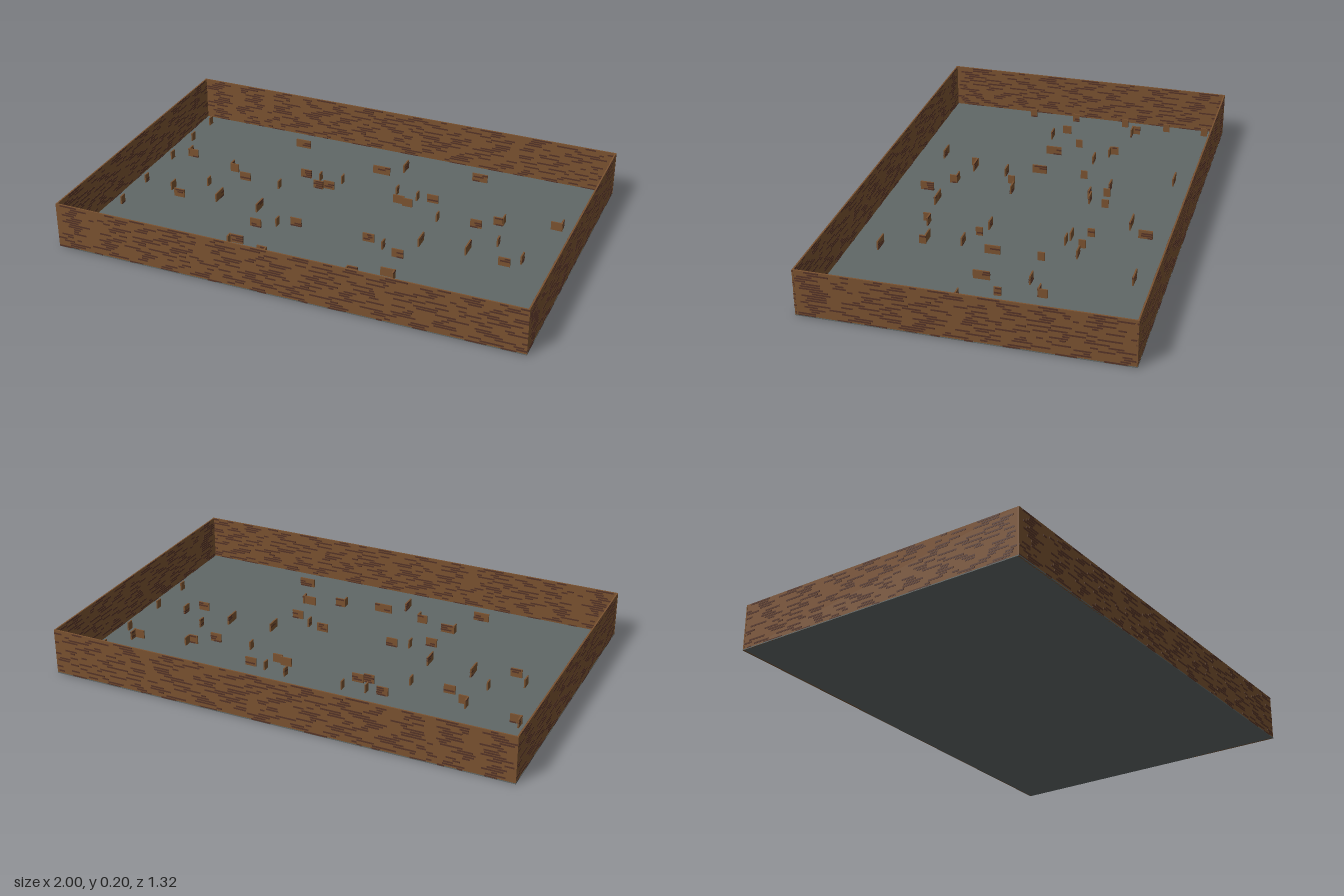
import * as THREE from 'three';
import { mergeGeometries } from 'three/addons/utils/BufferGeometryUtils.js';

const brown = new THREE.MeshStandardMaterial({ name: 'brick brown', color: 0x7a5230 });
const dark = new THREE.MeshStandardMaterial({ name: 'dark brick', color: 0x553427 });
const grey = new THREE.MeshStandardMaterial({ name: 'floor grey', color: 0x606766 });

const W = 2, D = 1.32, H = 0.2, T = 0.006;
let seed = 7;
const rand = () => (seed = (seed * 16807) % 2147483647) / 2147483647;

function part(name, geometry, material) {
  const mesh = new THREE.Mesh(geometry, material);
  mesh.name = name;
  return mesh;
}

// Wall lying along x, with rows of darker bricks showing on both faces
function brickWall(name, length, height, thickness) {
  const wall = new THREE.Group();
  wall.name = name;
  wall.add(part('wallPanel', new THREE.BoxGeometry(length, height, thickness).translate(0, height / 2, 0), brown));
  const bricks = [];
  const rows = Math.round(height / 0.01);
  for (let r = 0; r < rows; r++) {
    let x = -length / 2 + rand() * 0.08;
    while (x < length / 2 - 0.02) {
      const w = Math.min(0.02 + rand() * 0.08, length / 2 - x);
      bricks.push(new THREE.BoxGeometry(w, 0.007, thickness + 0.002)
        .translate(x + w / 2, (r + 0.5) * height / rows, 0));
      x += w + 0.04 + rand() * 0.12;
    }
  }
  if (bricks.length) wall.add(part('darkBricks', mergeGeometries(bricks), dark));
  return wall;
}

export function createModel() {
  const model = new THREE.Group();
  model.name = 'walledArena';

  // Floor
  model.add(part('floor', new THREE.BoxGeometry(W, 0.004, D).translate(0, 0.002, 0), grey));

  // Outer walls
  for (const s of [1, -1]) {
    const long = brickWall(s > 0 ? 'frontWall' : 'backWall', W, H, T);
    long.position.z = s * (D / 2 - T / 2 - 0.001);
    const short = brickWall(s > 0 ? 'leftWall' : 'rightWall', D - 2 * T, H, T);
    short.rotation.y = Math.PI / 2;
    short.position.x = s * (W / 2 - T / 2 - 0.001);
    model.add(long, short);
  }

  // Low barriers: [x, z, length], mirrored across x
  const alongX = [
    [0.43, -0.53, 0.07], [0.43, 0.53, 0.07], [0.62, -0.195, 0.04], [0.165, -0.21, 0.05],
    [0.21, -0.197, 0.045], [0.74, 0.105, 0.05], [0.165, 0.14, 0.05], [0.335, 0.36, 0.06],
    [0.2, 0.4, 0.045], [0.86, -0.25, 0.05], [0.54, -0.14, 0.05], [0.32, 0.21, 0.05],
    [0.3, -0.27, 0.05],
  ];
  const alongZ = [
    [0.88, -0.265, 0.04], [0.64, -0.215, 0.035], [0.23, -0.27, 0.03], [0.13, -0.285, 0.03],
    [0.37, -0.135, 0.03], [0.67, -0.04, 0.03], [0.57, 0.055, 0.07], [0.37, 0.07, 0.065],
    [0.24, 0.165, 0.03], [0.365, 0.37, 0.03], [0.18, 0.415, 0.03], [0.8, 0.05, 0.04],
    [0.94, -0.58, 0.03], [0.94, -0.4, 0.03], [0.94, -0.2, 0.03], [0.94, 0.04, 0.03], [0.94, 0.25, 0.03],
  ];
  const barriers = new THREE.Group();
  barriers.name = 'barriers';
  const addBarrier = (x, z, length, turned) => {
    const b = brickWall('barrier', length, 0.04, T);
    b.position.set(x, 0.002, z);
    if (turned) b.rotation.y = Math.PI / 2;
    barriers.add(b);
  };
  for (const s of [1, -1]) {
    for (const [x, z, l] of alongX) addBarrier(s * x, z, l, false);
    for (const [x, z, l] of alongZ) addBarrier(s * x, z, l, true);
    // Single barriers on the centre line, turned half round
    addBarrier(0, s * 0.428, 0.08, false);
    addBarrier(-s * 0.088, s * 0.505, 0.06, true);
  }
  model.add(barriers);
  return model;
}
